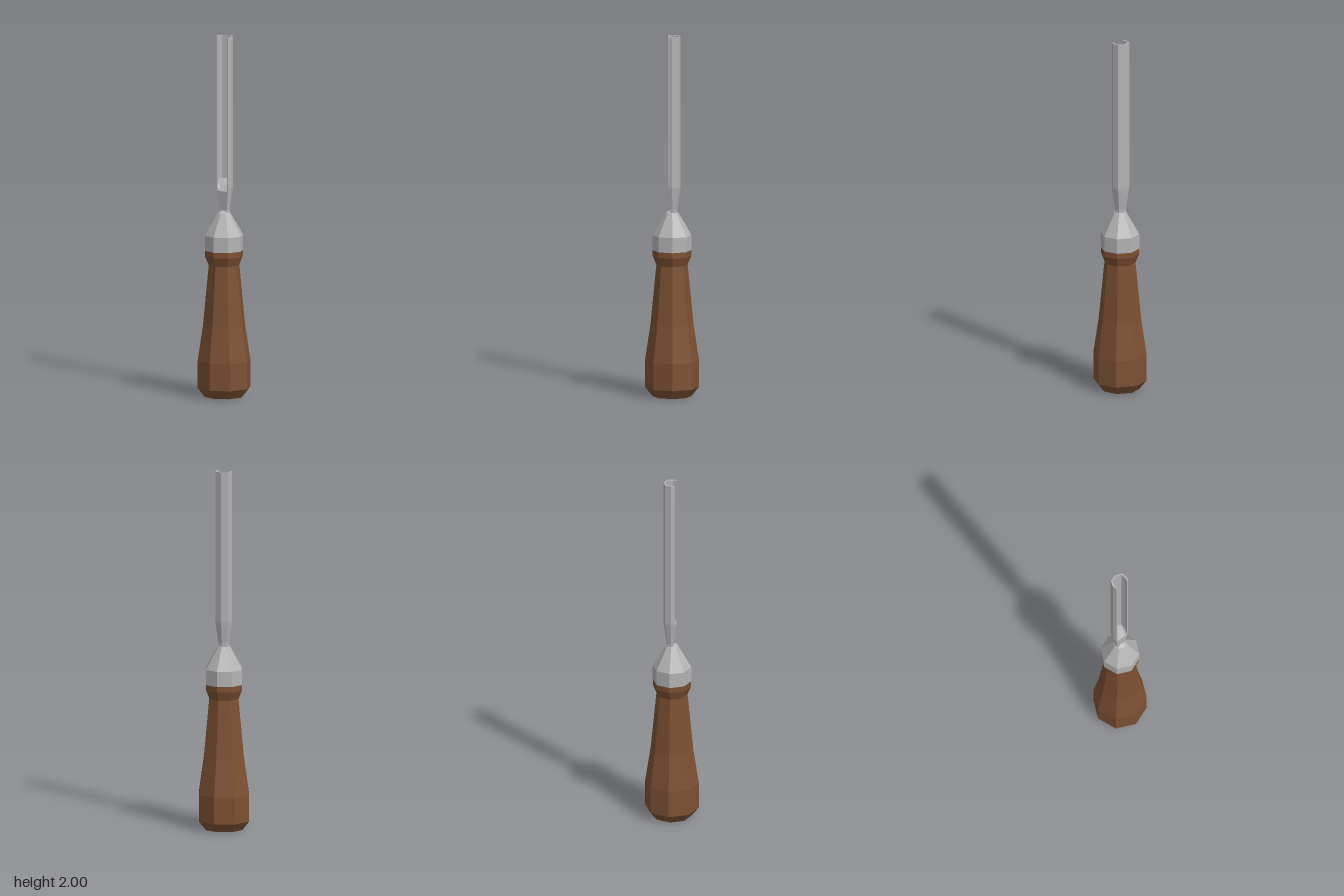
import * as THREE from 'three';

const wood = new THREE.MeshStandardMaterial({ color: 0x7c5033, flatShading: true });
wood.name = 'brown wood';
const steel = new THREE.MeshStandardMaterial({ color: 0xb4b4b4, flatShading: true });
steel.name = 'grey steel';

// Eight-sided turned part from [radius, height] pairs
function turned(name, profile, material) {
  const points = profile.map(([r, y]) => new THREE.Vector2(r, y));
  const mesh = new THREE.Mesh(new THREE.LatheGeometry(points, 8), material);
  mesh.name = name;
  return mesh;
}

// Half of a cross-section, mirrored from -x round to +x
const mirrored = half => [...half, ...half.slice(0, -1).reverse().map(([x, z]) => [-x, z])];

// Blade lofted through sections; each has an outer wall and a returning inner wall
function bladeGeometry() {
  const outer = mirrored([[-0.04, 0.02], [-0.048, 0], [-0.038, -0.034], [0, -0.047]]);
  const inner = mirrored([[-0.033, 0.02], [-0.038, 0], [-0.03, -0.029], [0, -0.039]]);
  const flat = mirrored([[-0.033, 0.02], [-0.03, 0.02], [-0.022, 0.02], [0, 0.02]]);
  const channel = [...outer, ...inner.slice().reverse()];
  const solid = [...outer, ...flat.slice().reverse()];
  const neck = solid.map(([x, z]) => [x * 0.63, z * 0.63 - 0.001]);
  const sections = [
    { y: 1.0, loop: neck },
    { y: 1.04, loop: neck },
    { y: 1.14, loop: solid.map(([x, z]) => [x * 0.93, z * 0.95]) },
    { y: 1.165, loop: channel.map(([x, z], i) => [
      (x + solid[i][0]) / 2, z * 0.4 + solid[i][1] * 0.6]) },
    { y: 1.205, loop: channel },
    { y: 2, loop: channel },
  ];

  const n = channel.length;
  const positions = sections.flatMap(s => s.loop.flatMap(([x, z]) => [x, s.y, z]));
  const index = [];
  for (let r = 0; r < sections.length - 1; r++) {
    for (let i = 0; i < n; i++) {
      const a = r * n + i, b = r * n + (i + 1) % n;
      index.push(a, b + n, b, a, a + n, b + n);
    }
  }
  // Rim across the cutting end
  const top = (sections.length - 1) * n;
  for (let i = 0; i < n / 2 - 1; i++) {
    const a = top + i, b = top + n - 1 - i;
    index.push(a, b, b - 1, a, b - 1, a + 1);
  }
  const geometry = new THREE.BufferGeometry();
  geometry.setAttribute('position', new THREE.Float32BufferAttribute(positions, 3));
  geometry.setIndex(index);
  geometry.computeVertexNormals();
  return geometry;
}

export function createModel() {
  const group = new THREE.Group();
  group.name = 'gouge';

  // Wooden grip with a flared collar
  group.add(turned('handle', [
    [0, 0], [0.108, 0], [0.148, 0.05], [0.148, 0.2], [0.118, 0.4],
    [0.086, 0.73], [0.106, 0.78], [0.106, 0.812], [0, 0.812],
  ], wood));

  // Steel ferrule and tapered shoulder
  group.add(turned('ferrule', [
    [0, 0.811], [0.107, 0.811], [0.107, 0.895], [0.104, 0.9], [0.035, 1.02], [0, 1.04],
  ], steel));

  // Hollow blade on its neck
  const blade = new THREE.Mesh(bladeGeometry(), steel);
  blade.name = 'blade';
  group.add(blade);

  return group;
}
